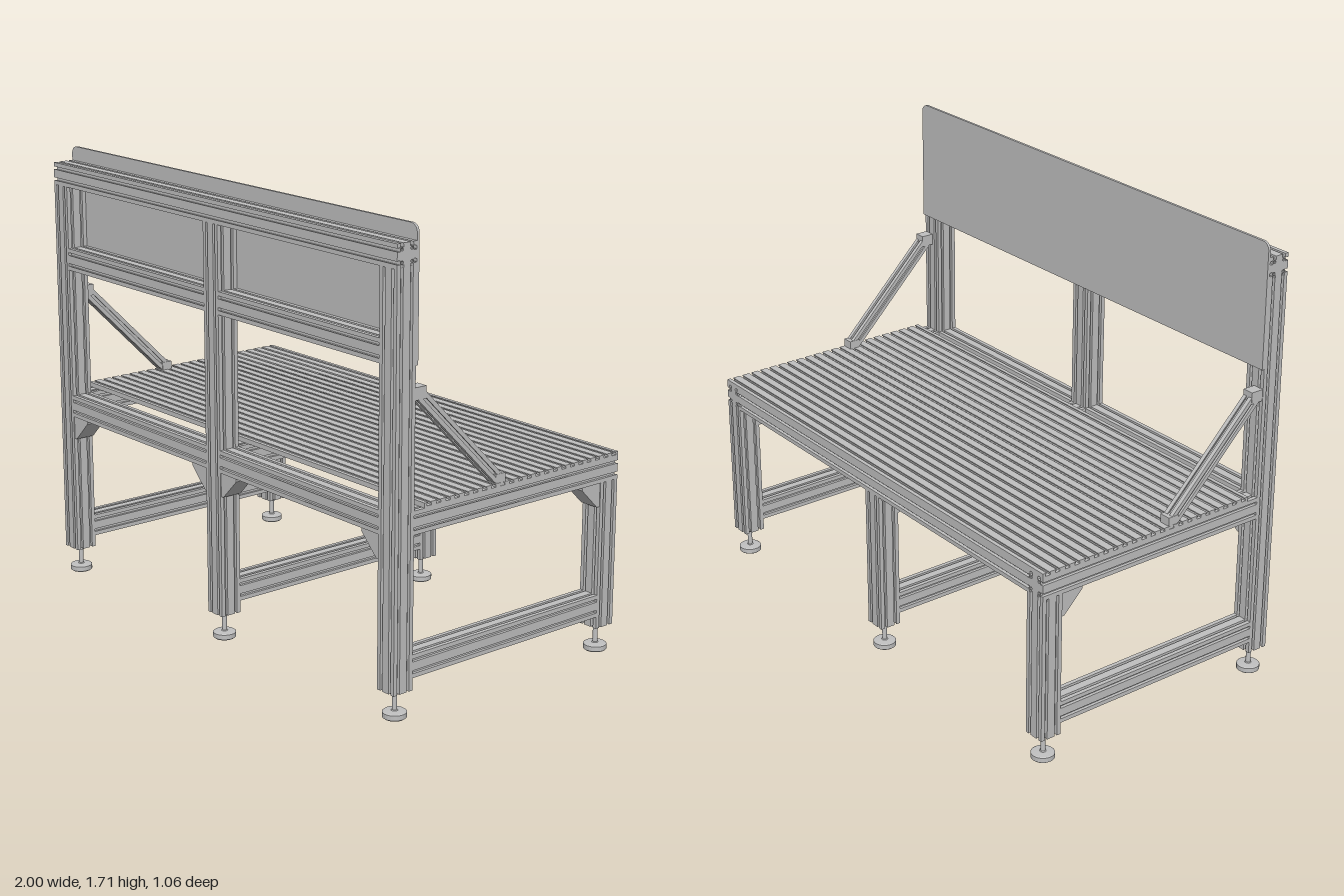
import * as THREE from 'three';

const W = 0.085; // frame profile width
const metal = new THREE.MeshStandardMaterial({ color: 0xc0c0c0 });
metal.name = 'aluminium grey';

// Square extrusion section with T-slots at the given offsets on each side
function slottedSection(size, offsets, open, inner, lip, depth) {
  const h = size / 2, pts = [];
  for (let side = 0; side < 4; side++) {
    const line = [[-h, -h]];
    for (const o of offsets) {
      line.push([o - open, -h], [o - open, -h + lip], [o - inner, -h + lip], [o - inner, -h + depth],
        [o + inner, -h + depth], [o + inner, -h + lip], [o + open, -h + lip], [o + open, -h]);
    }
    const a = side * Math.PI / 2, c = Math.cos(a), s = Math.sin(a);
    for (const [x, y] of line) pts.push(new THREE.Vector2(x * c - y * s, x * s + y * c));
  }
  const shape = new THREE.Shape(pts);
  for (const x of offsets) for (const y of offsets) {
    shape.holes.push(new THREE.Path().absarc(x, y, open, 0, Math.PI * 2, true));
  }
  return shape;
}
const frameSection = slottedSection(W, [-0.0213, 0.0213], 0.0055, 0.007, 0.004, 0.0135);
const braceSection = slottedSection(0.042, [0], 0.0055, 0.009, 0.004, 0.011);

function extrude(shape, depth) {
  return new THREE.ExtrudeGeometry(shape, { depth, bevelEnabled: false, curveSegments: 5 })
    .translate(0, 0, -depth / 2);
}

export function createModel() {
  const model = new THREE.Group();
  model.name = 'workbench';
  const add = (name, geo, x = 0, y = 0, z = 0) => {
    const m = new THREE.Mesh(geo, metal);
    m.name = name;
    m.position.set(x, y, z);
    model.add(m);
    return m;
  };
  // Slotted bar from a to b along one axis, centred on the other two
  const bar = (name, axis, a, b, u, v) => {
    const geo = extrude(frameSection, b - a), mid = (a + b) / 2;
    if (axis === 'x') add(name, geo.rotateY(Math.PI / 2), mid, u, v);
    if (axis === 'y') add(name, geo.rotateX(Math.PI / 2), u, mid, v);
    if (axis === 'z') add(name, geo, u, v, mid);
  };

  const zF = 0.4885, zB = -0.4885, xs = [-0.9575, 0, 0.9575];
  const railY = 0.6985, frontIn = zF - W / 2, backIn = zB + W / 2;

  // Levelling foot: pad, stem and collar
  const footProfile = [[0, 0], [0.038, 0], [0.043, 0.004], [0.043, 0.022], [0.039, 0.025], [0.012, 0.027],
    [0.009, 0.03], [0.009, 0.088], [0.016, 0.088], [0.016, 0.1], [0, 0.1]];
  const footGeo = new THREE.LatheGeometry(footProfile.map(p => new THREE.Vector2(...p)), 24).toNonIndexed();
  footGeo.computeVertexNormals();

  // Corner gusset: triangle under a rail, extending toward +x
  const tri = new THREE.Shape([[0, 0], [0, -0.09], [0.012, -0.09], [0.09, -0.012], [0.09, 0]]
    .map(p => new THREE.Vector2(...p)));
  const gusset = (x, z, turn) => {
    add('gusset', extrude(tri, 0.078), x, railY - W / 2, z).rotation.y = turn;
  };

  // Three frames, each with a tall front post and a short back leg
  for (const x of xs) {
    bar('frontPost', 'y', 0.1, 1.57, x, zF);
    bar('backLeg', 'y', 0.1, railY - W / 2, x, zB);
    bar('lowerStretcher', 'z', backIn, frontIn, x, 0.1875);
    bar('tableRail', 'z', x === 0 ? backIn : zB - W / 2, frontIn, x, railY);
    for (const z of [zF, zB]) add('levellingFoot', footGeo, x, 0, z);
    gusset(x, backIn, -Math.PI / 2);
    if (x < 0.5) gusset(x + W / 2, zF, 0);
    if (x > -0.5) gusset(x - W / 2, zF, Math.PI);
  }

  // Cross rails
  for (let i = 0; i < 2; i++) {
    const a = xs[i] + W / 2, b = xs[i + 1] - W / 2;
    bar('middleRail', 'x', a, b, 1.2875, zF);
    bar('frontTableRail', 'x', a, b, railY, zF);
  }
  bar('backTableRail', 'x', xs[0] + W / 2, xs[2] - W / 2, railY, zB);
  bar('topRail', 'x', -1, 1, 1.6125, zF);

  // Table top: slab with T-slots running along x
  const back = -0.531, front = 0.4, base = 0.741, top = 0.759, n = 22, pitch = (front - back) / n;
  const pts = [[back, base], [front, base], [front, top]];
  for (let i = n - 1; i >= 0; i--) {
    const c = back + (i + 0.5) * pitch;
    pts.push([c + 0.006, top], [c + 0.006, top - 0.004], [c + 0.01, top - 0.004], [c + 0.01, top - 0.012],
      [c - 0.01, top - 0.012], [c - 0.01, top - 0.004], [c - 0.006, top - 0.004], [c - 0.006, top]);
  }
  pts.push([back, top]);
  const slab = new THREE.Shape(pts.map(([z, y]) => new THREE.Vector2(-z, y)));
  add('tableTop', extrude(slab, 2).rotateY(Math.PI / 2));

  // Back panel with rounded upper corners
  const r = 0.03, lo = 1.24, hi = 1.71;
  const panel = new THREE.Shape();
  panel.moveTo(-1, lo);
  panel.lineTo(1, lo);
  panel.absarc(1 - r, hi - r, r, 0, Math.PI / 2);
  panel.absarc(-1 + r, hi - r, r, Math.PI / 2, Math.PI);
  add('backPanel', extrude(panel, 0.01), 0, 0, 0.441);

  // Diagonal braces with end joints
  for (const s of [-1, 1]) {
    const p = new THREE.Vector3(s * 0.976, 1.133, 0.415), q = new THREE.Vector3(s * 0.976, 0.776, 0.058);
    const brace = add('brace', extrude(braceSection, p.distanceTo(q)));
    brace.position.copy(p).add(q).multiplyScalar(0.5);
    brace.rotation.x = -Math.PI / 4;
    add('upperBraceJoint', new THREE.BoxGeometry(0.044, 0.044, 0.05), s * 0.976, 1.142, 0.421);
    add('lowerBraceJoint', new THREE.BoxGeometry(0.044, 0.05, 0.044), s * 0.976, 0.766, 0.049);
  }
  return model;
}
